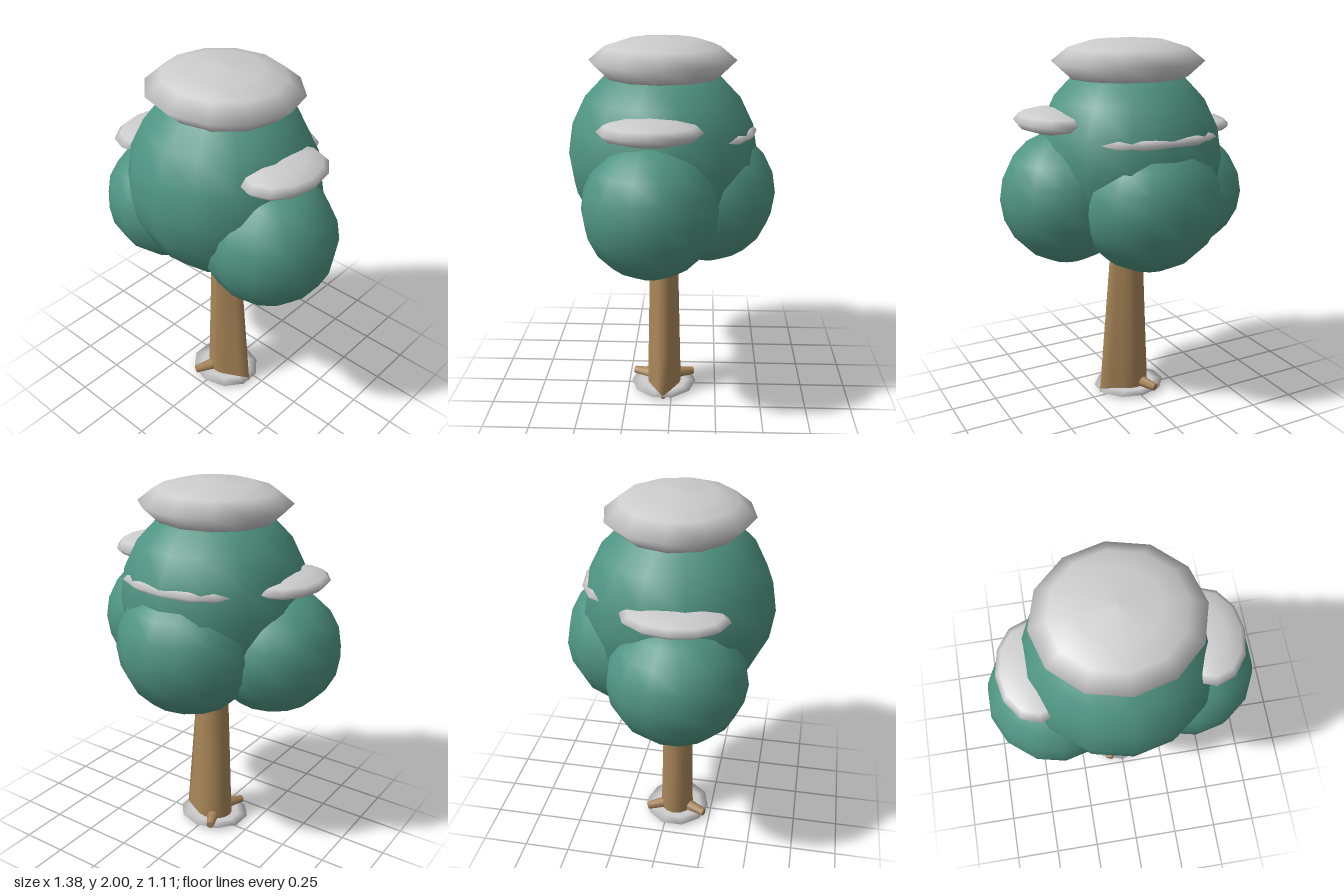
import * as THREE from 'three';

const leafMat = new THREE.MeshStandardMaterial({ color: 0x4f9482 });
const barkMat = new THREE.MeshStandardMaterial({ color: 0xa88558 });
const snowMat = new THREE.MeshStandardMaterial({ color: 0xcccccc });

// Low-poly smooth ellipsoid with a vertex column facing front and back
function ellipsoid(name, mat, pos, radii, sides = 14, rings = 10) {
  const geo = new THREE.SphereGeometry(1, sides, rings).rotateY(Math.PI / 2);
  geo.scale(...radii);
  geo.computeVertexNormals();
  // exact smooth normals, free of a seam
  const p = geo.attributes.position, n = geo.attributes.normal, v = new THREE.Vector3();
  for (let i = 0; i < p.count; i++) {
    v.set(p.getX(i) / radii[0] ** 2, p.getY(i) / radii[1] ** 2, p.getZ(i) / radii[2] ** 2).normalize();
    n.setXYZ(i, v.x, v.y, v.z);
  }
  const mesh = new THREE.Mesh(geo, mat);
  mesh.name = name;
  mesh.position.set(...pos);
  return mesh;
}

// Tapered limb between two points
function limb(name, from, to, r0, r1) {
  const a = new THREE.Vector3(...from), b = new THREE.Vector3(...to);
  const dir = b.clone().sub(a);
  const mesh = new THREE.Mesh(new THREE.CylinderGeometry(r1, r0, dir.length(), 7), barkMat);
  mesh.name = name;
  mesh.position.copy(a).add(b).multiplyScalar(0.5);
  mesh.quaternion.setFromUnitVectors(new THREE.Vector3(0, 1, 0), dir.normalize());
  return mesh;
}

// Tapered trunk with a buttress fin on its left side
function makeTrunk() {
  const h = 0.98;
  const geo = new THREE.CylinderGeometry(1, 1, h, 16, 4).translate(0, h / 2, 0);
  const p = geo.attributes.position;
  for (let i = 0; i < p.count; i++) {
    const t = p.getY(i) / h, c = p.getX(i), s = p.getZ(i);
    const fin = THREE.MathUtils.lerp(0.08, 0.03, t) * Math.max(0, c) ** 10;
    p.setX(i, c * THREE.MathUtils.lerp(0.11, 0.073, t) + fin);
    p.setZ(i, s * THREE.MathUtils.lerp(0.096, 0.074, t));
  }
  geo.computeVertexNormals();
  const mesh = new THREE.Mesh(geo, barkMat);
  mesh.name = 'trunk';
  mesh.position.z = 0.045;
  return mesh;
}

// Snow cap: rounded dome over a bevelled rim with a hollowed underside
function makeSnowCap() {
  const profile = [[0, -0.04], [0.2, -0.06], [0.32, -0.08], [0.41, 0], [0.32, 0.07], [0.2, 0.105], [0, 0.12]];
  const geo = new THREE.LatheGeometry(profile.map(([x, y]) => new THREE.Vector2(x, y)), 12);
  geo.scale(1, 1, 0.935);
  const mesh = new THREE.Mesh(geo, snowMat);
  mesh.name = 'snowCap';
  mesh.position.set(0, 1.88, 0.048);
  return mesh;
}

export function createModel() {
  const tree = new THREE.Group();
  tree.name = 'snowyTree';

  // Foliage
  tree.add(
    ellipsoid('mainCanopy', leafMat, [0, 1.385, 0.05], [0.5, 0.52, 0.502]),
    ellipsoid('leftCanopy', leafMat, [0.35, 1.185, 0.095], [0.35, 0.357, 0.35]),
    ellipsoid('rightCanopy', leafMat, [-0.345, 1.14, 0.1], [0.355, 0.34, 0.362]),
    ellipsoid('backCanopy', leafMat, [0, 1.175, -0.19], [0.39, 0.37, 0.365]),
  );

  // Snow
  tree.add(
    makeSnowCap(),
    ellipsoid('leftSnow', snowMat, [0.42, 1.595, 0.09], [0.19, 0.065, 0.26], 12, 6),
    ellipsoid('rightSnow', snowMat, [-0.42, 1.52, 0.1], [0.19, 0.052, 0.27], 12, 6),
    ellipsoid('backSnow', snowMat, [0, 1.52, -0.26], [0.34, 0.05, 0.185], 12, 6),
    ellipsoid('groundSnow', snowMat, [0, 0.017, 0.048], [0.205, 0.009, 0.185], 10, 4),
  );

  // Trunk, upper branches and root stubs
  tree.add(makeTrunk());
  for (const s of [-1, 1]) {
    tree.add(limb('sideBranch', [s * 0.05 + 0.015, 0.74, 0.06], [s * 0.14, 0.96, 0.08], 0.018, 0.03));
  }
  tree.add(limb('backBranch', [0, 0.76, -0.01], [0, 0.95, -0.09], 0.018, 0.03));
  tree.add(limb('frontRoot', [-0.03, 0.04, 0.1], [-0.085, 0.035, 0.22], 0.038, 0.022));
  tree.add(limb('backRoot', [-0.03, 0.045, 0.0], [-0.085, 0.035, -0.12], 0.036, 0.022));
  return tree;
}
